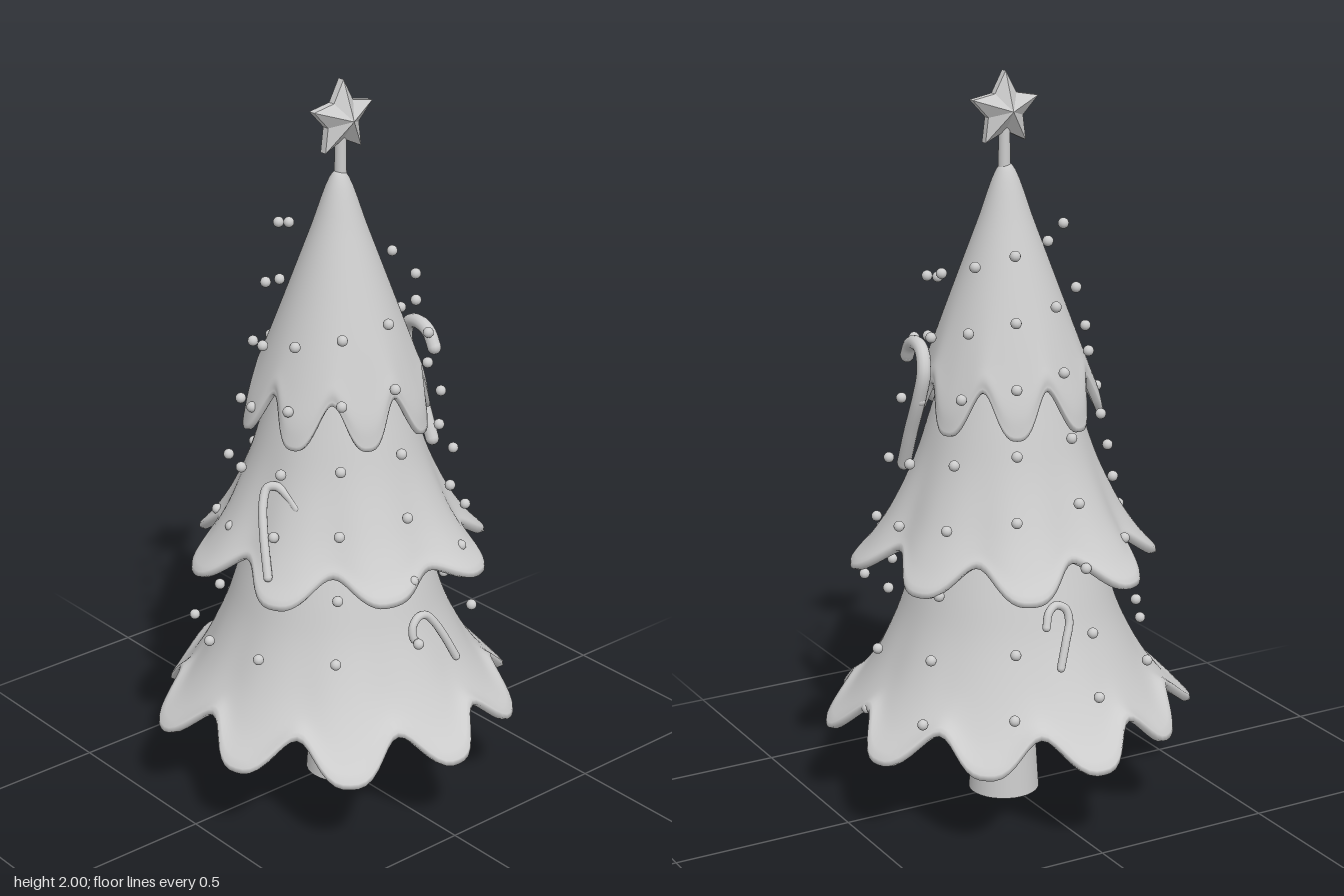
import * as THREE from 'three';

const material = new THREE.MeshStandardMaterial({ color: 0xcccccc });
const openMaterial = new THREE.MeshStandardMaterial({ color: 0xcccccc, side: THREE.DoubleSide });
const V = (x, y, z) => new THREE.Vector3(x, y, z);
const RAD = Math.PI / 180;

function addMesh(parent, name, geometry, x = 0, y = 0, z = 0, mat = material) {
  const mesh = new THREE.Mesh(geometry, mat);
  mesh.name = name;
  mesh.position.set(x, y, z);
  parent.add(mesh);
}

// Scalloped skirt: profile points are [radius, height, lobe weight], top to hem.
// reach lengthens or shortens each lobe; frontCalm flattens the lobes facing the front.
function skirtGeometry({ profile, phase, reach, ampR, ampY, thickness, frontCalm = 0 }) {
  const lobes = reach.length;
  const curve = new THREE.CatmullRomCurve3(profile.map(p => V(...p)));
  const outer = curve.getPoints(32);
  const hem = outer[outer.length - 1];
  const rows = outer.concat(
    [V(hem.x + 0.002, hem.y - thickness * 0.6, 1), V(hem.x - thickness * 0.6, hem.y - thickness * 0.8, 1)],
    outer.slice(0, -1).reverse().map(p => V(Math.max(p.x - thickness, 0), p.y - thickness * 0.7, p.z))
  );
  const segments = 160, positions = [], index = [];
  for (const p of rows) {
    const weight = Math.max(p.z, 0);
    for (let j = 0; j < segments; j++) {
      const a = j / segments * Math.PI * 2;
      const turn = lobes * (a - phase * RAD) / 2;
      const lobe = (Math.round(turn / Math.PI) + lobes) % lobes;
      const wave = 1 - 2 * (Math.sin(turn) ** 2) ** 1.4;
      const c = wave * (1 - frontCalm * Math.max(Math.sin(a), 0) ** 4);
      const r = Math.max(p.x, 0) + weight * (ampR * c + reach[lobe] * (wave + 1) / 2);
      positions.push(r * Math.cos(a), p.y - weight * ampY * c, r * Math.sin(a));
    }
  }
  for (let i = 0; i < rows.length - 1; i++) {
    for (let j = 0; j < segments; j++) {
      const k = (j + 1) % segments;
      const a = i * segments + j, b = a + segments, c = i * segments + k, d = c + segments;
      index.push(a, c, b, b, c, d);
    }
  }
  const g = new THREE.BufferGeometry();
  g.setAttribute('position', new THREE.Float32BufferAttribute(positions, 3));
  g.setIndex(index);
  g.computeVertexNormals();
  return g;
}

// Five-pointed star with a thin rim, raised to a point on both faces
function starGeometry(outer, inner, depth, rimDepth) {
  const rim = [], positions = [];
  for (let i = 0; i < 10; i++) {
    const a = Math.PI / 2 + i * Math.PI / 5, r = i % 2 ? inner : outer;
    rim.push([r * Math.cos(a), r * Math.sin(a)]);
  }
  rim.forEach((p, i) => {
    const q = rim[(i + 1) % 10];
    const pf = [...p, rimDepth], qf = [...q, rimDepth], pb = [...p, -rimDepth], qb = [...q, -rimDepth];
    positions.push(0, 0, depth, ...pf, ...qf);
    positions.push(0, 0, -depth, ...qb, ...pb);
    positions.push(...pf, ...pb, ...qf, ...qf, ...pb, ...qb);
  });
  const g = new THREE.BufferGeometry();
  g.setAttribute('position', new THREE.Float32BufferAttribute(positions, 3));
  g.computeVertexNormals();
  return g;
}

// Hooked stick along a smooth path with rounded ends
function addCane(parent, name, radius, points) {
  const cane = new THREE.Group();
  cane.name = name;
  const path = points.map(p => V(...p));
  addMesh(cane, 'caneStick', new THREE.TubeGeometry(new THREE.CatmullRomCurve3(path), 48, radius, 12));
  for (const p of [path[0], path[path.length - 1]]) {
    addMesh(cane, 'caneEnd', new THREE.SphereGeometry(radius, 12, 8), p.x, p.y, p.z);
  }
  parent.add(cane);
}

export function createModel() {
  const tree = new THREE.Group();
  tree.name = 'decoratedTree';

  // Hollow tapering trunk, and the thin pole that carries the star
  addMesh(tree, 'trunk', new THREE.CylinderGeometry(0.05, 0.098, 0.78, 32, 1, true), 0.01, 0.39, 0.012, openMaterial);
  addMesh(tree, 'starPole', new THREE.CylinderGeometry(0.015, 0.017, 0.16, 20), 0.008, 1.78, 0.01);

  // Three tiers of foliage
  addMesh(tree, 'lowerTier', skirtGeometry({
    profile: [[0, 0.97, 0], [0.15, 0.95, 0], [0.205, 0.82, 0], [0.264, 0.65, 0], [0.3, 0.54, 0.03],
      [0.345, 0.44, 0.15], [0.405, 0.345, 0.5], [0.47, 0.285, 1]],
    reach: [0, 0.015, 0, 0.01, -0.03, 0, -0.025, 0, 0, -0.006],
    phase: 90, ampR: 0.036, ampY: 0.045, thickness: 0.024,
  }), 0.002);
  addMesh(tree, 'middleTier', skirtGeometry({
    profile: [[0, 1.4, 0], [0.09, 1.37, 0], [0.16, 1.22, 0], [0.2, 1.1, 0], [0.238, 0.98, 0.05],
      [0.288, 0.86, 0.25], [0.335, 0.775, 0.6], [0.372, 0.728, 1]],
    reach: [0.008, 0.015, 0, -0.012, 0, 0, -0.012, -0.022],
    phase: 20, ampR: 0.043, ampY: 0.04, thickness: 0.024, frontCalm: 0.45,
  }), 0.008, 0, 0.004);
  addMesh(tree, 'upperTier', skirtGeometry({
    profile: [[0, 1.765, 0], [0.02, 1.75, 0], [0.077, 1.6, 0], [0.152, 1.4, 0.03],
      [0.207, 1.25, 0.4], [0.23, 1.185, 0.75], [0.236, 1.145, 1]],
    reach: [0, 0, 0, 0.012, 0.012, 0, 0, 0],
    phase: 22.5, ampR: 0.015, ampY: 0.06, thickness: 0.018,
  }), 0.004, 0, 0.01);

  // Star on top
  addMesh(tree, 'star', starGeometry(0.102, 0.054, 0.052, 0.01), 0.008, 1.898, 0.012);

  // Strings of small balls running down the tree, each starting a little lower
  const baubles = new THREE.Group();
  baubles.name = 'baubles';
  const ball = new THREE.SphereGeometry(0.0145, 14, 10);
  for (let i = 0; i < 11; i++) {
    const count = i < 5 ? 8 : 6;
    const step = i === 4 || i > 8 ? 0.032 : 0.036;
    for (let j = 0; j < count; j++) {
      const a = (226 + i * 360 / 11 + j * 0.7) * RAD;
      const r = 0.157 + 0.01 * Math.min(i, 6.5) + step * j;
      addMesh(baubles, 'bauble', ball, 0.01 + r * Math.cos(a), 1.61 - 0.03 * i - 0.168 * j, r * Math.sin(a));
    }
  }
  tree.add(baubles);

  // Hooked canes hung around the tree, each from its foot to the hook's tip
  addCane(tree, 'leftCane', 0.019, [[0.272, 0.96, 0.088], [0.274, 1.06, 0.042], [0.272, 1.16, -0.003],
    [0.265, 1.235, -0.018], [0.255, 1.283, 0.01], [0.249, 1.295, 0.055], [0.243, 1.28, 0.1], [0.24, 1.245, 0.125]]);
  addCane(tree, 'rightCane', 0.012, [[-0.338, 0.745, 0.125], [-0.31, 0.84, 0.075], [-0.282, 0.91, 0.038],
    [-0.258, 0.946, 0.027], [-0.24, 0.95, 0.045], [-0.23, 0.93, 0.08], [-0.228, 0.905, 0.112]]);
  addCane(tree, 'frontCane', 0.011, [[0.082, 0.48, 0.402], [0.055, 0.54, 0.387], [0.028, 0.59, 0.372],
    [0.005, 0.615, 0.364], [-0.02, 0.616, 0.362], [-0.042, 0.595, 0.365], [-0.045, 0.565, 0.372], [-0.035, 0.552, 0.376]]);
  addCane(tree, 'backCane', 0.011, [[0.05, 0.485, -0.365], [0.028, 0.55, -0.352], [0.01, 0.6, -0.338],
    [0.015, 0.632, -0.328], [0.04, 0.645, -0.322], [0.066, 0.63, -0.328], [0.08, 0.595, -0.34]]);

  return tree;
}
